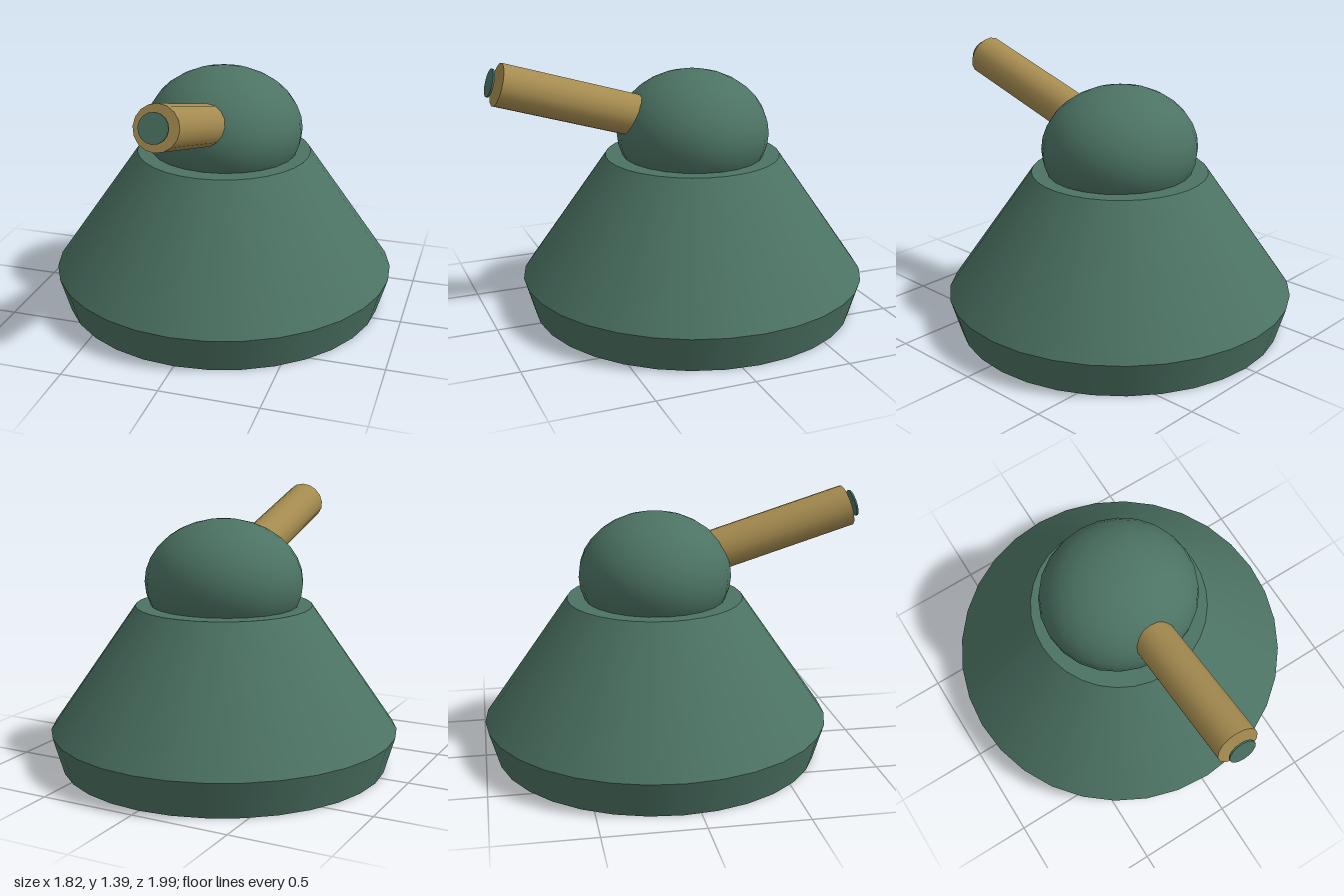
import * as THREE from 'three';

export function createModel() {
  const model = new THREE.Group();
  model.name = 'gunTurret';

  const green = new THREE.MeshStandardMaterial({ color: 0x4c7364 });
  green.name = 'armour green';
  const brass = new THREE.MeshStandardMaterial({ color: 0xa68c50 });
  brass.name = 'barrel brass';

  const add = (parent, name, geometry, material, x, y, z) => {
    const mesh = new THREE.Mesh(geometry, material);
    mesh.name = name;
    mesh.position.set(x, y, z);
    parent.add(mesh);
    return mesh;
  };

  // Body, set back so that the barrel tip reaches z = 1
  const bodyZ = -0.085;
  add(model, 'baseSkirt', new THREE.CylinderGeometry(0.91, 0.855, 0.19, 32), green, 0, 0.095, bodyZ);
  add(model, 'slopedHull', new THREE.CylinderGeometry(0.46, 0.91, 0.65, 32), green, 0, 0.515, bodyZ);

  // Flattened dome sunk into the hull top
  const dome = add(model, 'dome', new THREE.SphereGeometry(1, 24, 16), green, 0, 0.96, bodyZ);
  dome.scale.set(0.415, 0.325, 0.397);

  // Barrel assembly: local +y runs along the barrel, origin at the muzzle
  const gun = new THREE.Group();
  gun.name = 'gun';
  gun.position.set(0, 1.288, 0.94);
  gun.rotation.x = Math.PI / 2 - 0.297;
  model.add(gun);
  const length = 0.74;
  add(gun, 'barrel', new THREE.CylinderGeometry(0.109, 0.109, length, 16), brass, 0, -length / 2, 0);

  // Thin disc standing just ahead of the muzzle
  add(gun, 'muzzleDisc', new THREE.CylinderGeometry(0.071, 0.071, 0.009, 16), green, 0, 0.036, 0);

  return model;
}
